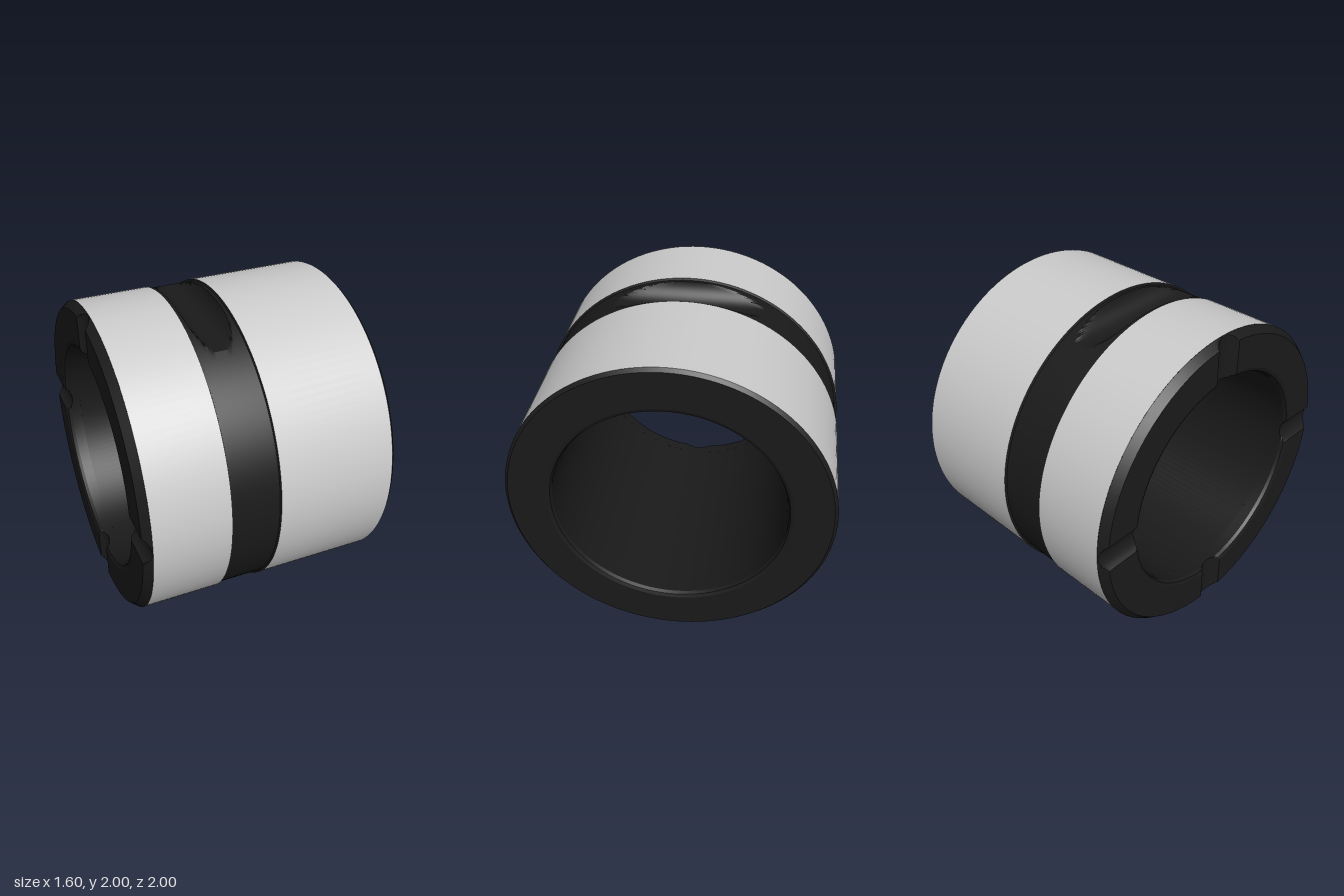
import * as THREE from 'three';
import { toCreasedNormals } from 'three/addons/utils/BufferGeometryUtils.js';

const SEG = 128, BORE = 0.715;
const grey = new THREE.MeshStandardMaterial({ color: 0xcccccc });
const dark = new THREE.MeshStandardMaterial({ color: 0x1a1a1a });

// Surface of revolution from [radius, axial] pairs, with an optional rule that moves its vertices
function turned(name, profile, material, rule) {
  const points = profile.map(([r, a]) => new THREE.Vector2(r, a));
  const geometry = new THREE.LatheGeometry(points, SEG);
  const pos = geometry.attributes.position;
  if (rule) {
    for (let i = 0; i < pos.count; i++) {
      const segment = Math.floor(i / points.length);
      const r = points[i % points.length].x;
      const [phi, radius, axial] = rule(segment / SEG * Math.PI * 2, r, pos.getY(i));
      pos.setXYZ(i, radius * Math.sin(phi), axial, radius * Math.cos(phi));
    }
  }
  const mesh = new THREE.Mesh(toCreasedNormals(geometry, 0.4), material);
  mesh.name = name;
  return mesh;
}

// Round channels cut straight across the top and bottom of the groove
const CHANNEL = { x: -0.115, r: 0.13 };
function cutChannels(phi, r, a) {
  const d = a - CHANNEL.x;
  if (Math.abs(d) > CHANNEL.r) return [phi, r, a];
  const height = 1 - Math.sqrt(CHANNEL.r ** 2 - d * d);
  return [phi, Math.min(r, height / Math.max(Math.abs(Math.sin(phi)), 1e-6)), a];
}

// Four rounded notches across the end face, with edge lines gathered at each notch
const NOTCH = { x: -0.8627, r: 0.1097, half: 0.09 };
function cutNotches(phi, r, a) {
  const t = phi / (Math.PI / 2), k = Math.round(t), s = t - k;
  const edge = Math.asin(NOTCH.half / r);
  let angle;
  if (Math.abs(s) <= 0.25) {
    const v = NOTCH.half * s / 0.25;
    angle = Math.asin(v / r);
    a = Math.max(a, NOTCH.x + Math.sqrt(NOTCH.r ** 2 - v * v));
  } else {
    const f = (Math.abs(s) - 0.25) / 0.25;
    angle = Math.sign(s) * (edge + f * (Math.PI / 4 - edge));
  }
  return [k * Math.PI / 2 + angle, r, a];
}

export function createModel() {
  const model = new THREE.Group();
  model.name = 'groovedBushing';
  const body = new THREE.Group();
  body.name = 'body';
  body.rotation.z = -Math.PI / 2; // turning axis along x
  body.position.y = 1;
  model.add(body);

  // Bright outer bands
  body.add(turned('narrowBand', [[1, -0.75], [1, -0.27]], grey));
  body.add(turned('wideBand', [[1, 0.04], [1, 0.78]], grey));

  // Shallow groove with the two channels
  const groove = [[1, -0.27], [0.987, -0.265]];
  for (let i = 0; i <= 32; i++) {
    groove.push([0.987, CHANNEL.x - CHANNEL.r * Math.cos(i / 32 * Math.PI)]);
  }
  groove.push([0.987, 0.035], [1, 0.04]);
  body.add(turned('groove', groove, dark, cutChannels));

  // Plain end with chamfer and eased inner edge
  body.add(turned('plainEnd', [[1, 0.78], [0.98, 0.8], [0.745, 0.8],
    [0.724, 0.791], [BORE, 0.77]], dark));

  // Bore wall
  body.add(turned('bore', [[BORE, 0.77], [BORE, -0.7]], dark));

  // Notched end with wider chamfer
  const end = [[BORE, -0.7], [BORE, -0.77], [0.724, -0.791]];
  for (let i = 0; i <= 6; i++) end.push([0.745 + 0.215 * i / 6, -0.8]);
  for (let i = 1; i <= 8; i++) end.push([0.96 + 0.04 * i / 8, -0.8 + 0.05 * i / 8]);
  body.add(turned('notchedEnd', end, dark, cutNotches));

  return model;
}
